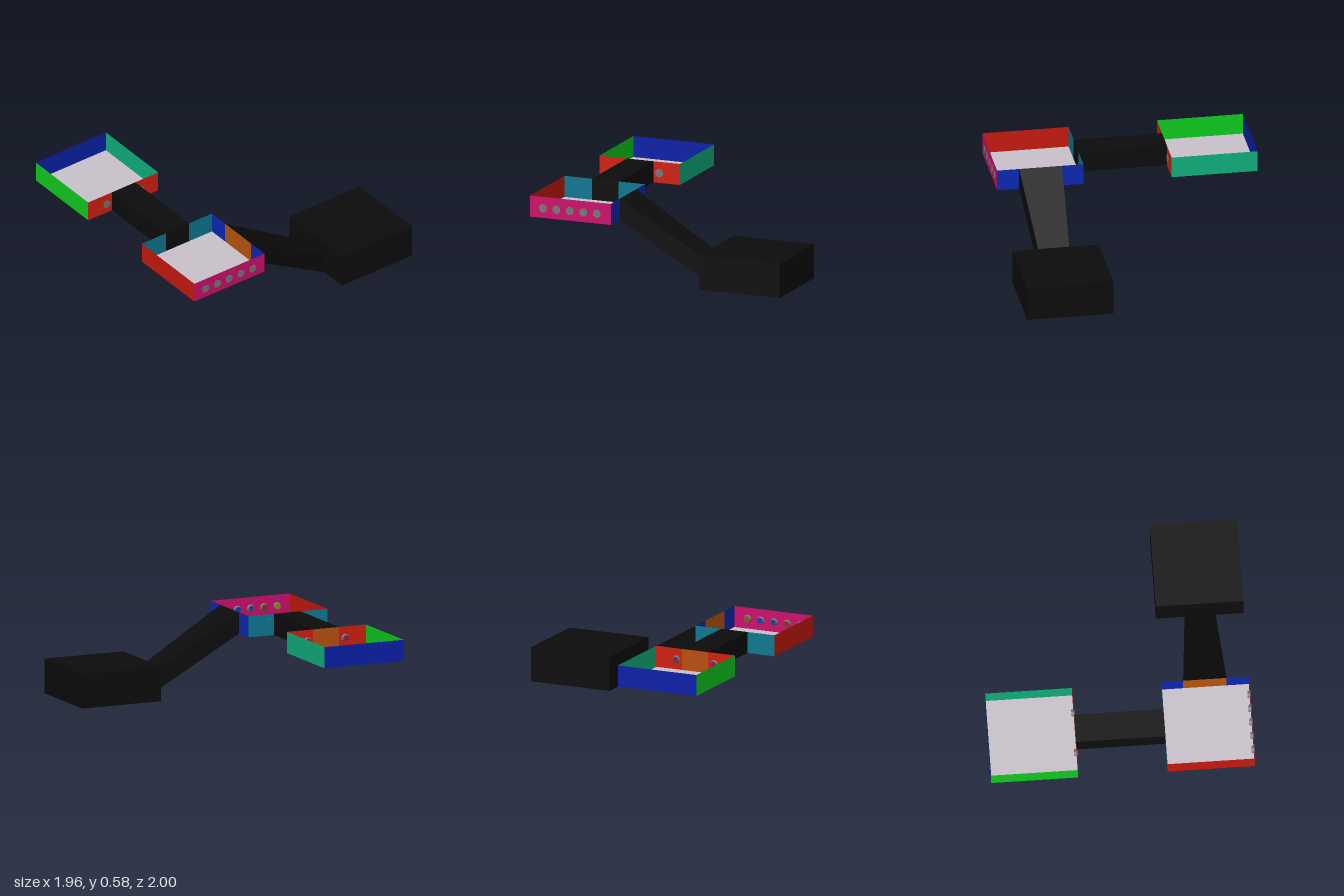
import * as THREE from 'three';

const FLOOR = 0xcac2cc, BLACK = 0x0c0c0c, GREY = 0x777777;
const Y0 = 0.42, Y1 = 0.58;

const paint = (color) => new THREE.MeshStandardMaterial({ color, side: THREE.DoubleSide, flatShading: true });

// One flat four-cornered sheet
function panel(parent, name, color, a, b, c, d) {
  const g = new THREE.BufferGeometry();
  g.setAttribute('position', new THREE.Float32BufferAttribute([a, b, c, d].flat(), 3));
  g.setIndex([0, 1, 2, 0, 2, 3]);
  g.computeVertexNormals();
  const m = new THREE.Mesh(g, paint(color));
  m.name = name;
  parent.add(m);
}

// Upright sheet standing between two points on the plan
function wall(parent, name, color, [xa, za], [xb, zb], y0 = Y0, y1 = Y1) {
  panel(parent, name, color, [xa, y0, za], [xb, y0, zb], [xb, y1, zb], [xa, y1, za]);
}

function slab(parent, name, color, x0, x1, z0, z1, y) {
  panel(parent, name, color, [x0, y, z0], [x0, y, z1], [x1, y, z1], [x1, y, z0]);
}

// Tapered button set through a wall that faces +x, coloured on the room side
function button(parent, x, z, color) {
  const g = new THREE.Group();
  g.name = 'wallButton';
  const body = new THREE.Mesh(new THREE.CylinderGeometry(0.032, 0.024, 0.02, 20), paint(GREY));
  const face = new THREE.Mesh(new THREE.CylinderGeometry(0.022, 0.022, 0.002, 20), paint(color));
  body.name = 'buttonBody';
  face.name = 'buttonFace';
  face.position.y = -0.011;
  g.add(body, face);
  g.rotation.z = -Math.PI / 2;
  g.position.set(x - 0.005, 0.495, z);
  parent.add(g);
}

// Passage joining two four-cornered ends: [bottom a, bottom b, top b, top a]
function passage(parent, name, p, q) {
  const g = new THREE.Group();
  g.name = name;
  ['Floor', 'Side', 'Roof', 'Side'].forEach((part, i) => {
    const j = (i + 1) % 4;
    panel(g, 'passage' + part, i === 0 ? FLOOR : BLACK, p[i], p[j], q[j], q[i]);
  });
  parent.add(g);
}

export function createModel() {
  const model = new THREE.Group();
  const back = 0.355, front = 1, doorA = 0.565, doorB = 0.78;

  // Open room on the right, with a door to the level passage
  const rightRoom = new THREE.Group();
  rightRoom.name = 'rightRoom';
  const rx0 = -0.978, rx1 = -0.335;
  slab(rightRoom, 'floor', FLOOR, rx0, rx1, back, front, Y0);
  wall(rightRoom, 'frontWall', 0x10cc20, [rx0, front], [rx1, front]);
  wall(rightRoom, 'backWall', 0x10b07c, [rx1, back], [rx0, back]);
  wall(rightRoom, 'outerWall', 0x0a20a8, [rx0, back], [rx0, front]);
  wall(rightRoom, 'innerWall', 0xd0200f, [rx1, front], [rx1, doorB]);
  wall(rightRoom, 'innerWall', 0xd0200f, [rx1, doorA], [rx1, back]);
  wall(rightRoom, 'door', 0xb8500f, [rx1, doorB], [rx1, doorA]);
  for (const z of [0.52, 0.83]) button(rightRoom, rx1, z, 0x8a2050);

  // Open room on the left, with doors to both passages
  const leftRoom = new THREE.Group();
  leftRoom.name = 'leftRoom';
  const lx0 = 0.325, lx1 = 0.97, rampA = 0.485, rampB = 0.805;
  slab(leftRoom, 'floor', FLOOR, lx0, lx1, back, front, Y0);
  wall(leftRoom, 'frontWall', 0xc8190f, [lx0, front], [lx1, front]);
  wall(leftRoom, 'outerWall', 0xcc0f6c, [lx1, front], [lx1, back]);
  wall(leftRoom, 'backWall', 0x0c28b4, [lx1, back], [rampB, back]);
  wall(leftRoom, 'backWall', 0x0c28b4, [rampA, back], [lx0, back]);
  wall(leftRoom, 'rampDoor', 0xb8560f, [rampB, back], [rampA, back]);
  wall(leftRoom, 'innerWall', 0x0c7890, [lx0, back], [lx0, doorA]);
  wall(leftRoom, 'innerWall', 0x0c7890, [lx0, doorB], [lx0, front]);
  wall(leftRoom, 'passageDoor', BLACK, [lx0, doorA], [lx0, doorB]);
  const faces = [0x806018, 0x1838b0, 0x204090, 0x8a3020, 0x988818];
  faces.forEach((color, i) => button(leftRoom, lx1, 0.465 + i * 0.108, color));

  // Closed lower room at the back
  const lowerRoom = new THREE.Group();
  lowerRoom.name = 'lowerRoom';
  const bx0 = 0.332, bx1 = 0.978, bz0 = -1, bz1 = -0.355, top = 0.26;
  const corners = [[bx0, bz0], [bx0, bz1], [bx1, bz1], [bx1, bz0]];
  slab(lowerRoom, 'floor', FLOOR, bx0, bx1, bz0, bz1, 0);
  slab(lowerRoom, 'roof', BLACK, bx0, bx1, bz0, bz1, top);
  corners.forEach((c, i) => wall(lowerRoom, 'wall', BLACK, c, corners[(i + 1) % 4], 0, top));

  // Level passage between the open rooms, and the ramp down to the lower room
  const endX = (x) => [[x, Y0, doorA], [x, Y0, doorB], [x, Y1, doorB], [x, Y1, doorA]];
  const endZ = (x0, x1, y, z) => [[x0, y, z], [x1, y, z], [x1, y + 0.16, z], [x0, y + 0.16, z]];
  passage(model, 'levelPassage', endX(rx1), endX(lx0));
  passage(model, 'rampPassage', endZ(rampA, rampB, Y0, back), endZ(0.545, 0.765, 0, bz1));

  model.add(rightRoom, leftRoom, lowerRoom);
  return model;
}
